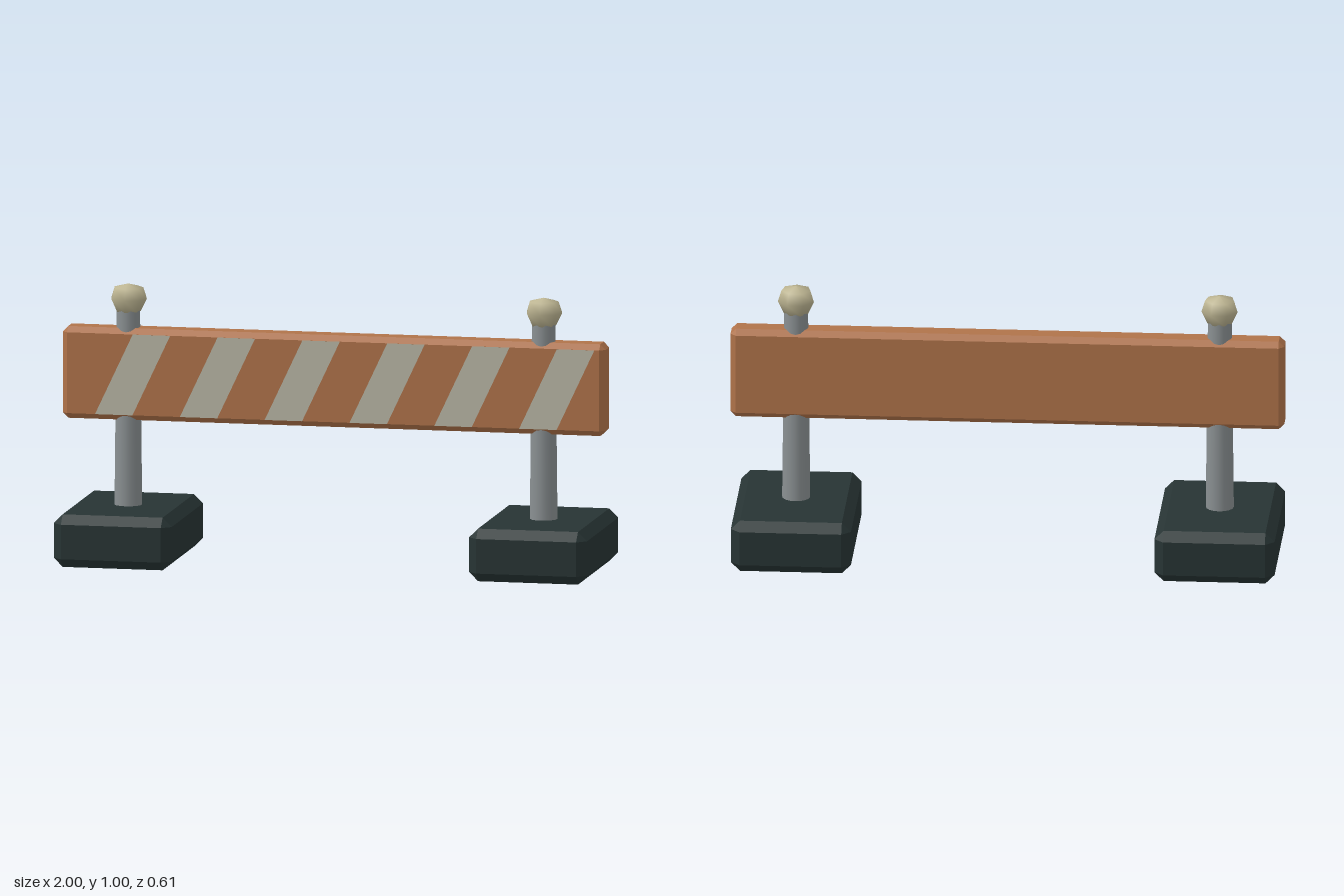
import * as THREE from 'three';
import { ConvexGeometry } from 'three/addons/geometries/ConvexGeometry.js';

const material = (name, color) => {
  const m = new THREE.MeshStandardMaterial({ color });
  m.name = name;
  return m;
};

// Box with every edge and corner cut by the same chamfer
function chamferedBox(w, h, d, c) {
  const half = [w / 2, h / 2, d / 2];
  const points = [];
  for (const sx of [-1, 1]) for (const sy of [-1, 1]) for (const sz of [-1, 1]) {
    for (let axis = 0; axis < 3; axis++) {
      const [x, y, z] = half.map((v, i) => (i === axis ? v : v - c));
      points.push(new THREE.Vector3(sx * x, sy * y, sz * z));
    }
  }
  return new ConvexGeometry(points);
}

export function createModel() {
  const orange = material('orange board', 0xb0734a);
  const white = material('pale stripe', 0xb9b7a6);
  const dark = material('dark base', 0x273434);
  const grey = material('grey metal', 0x8a9092);
  const cream = material('cream lamp', 0xbdb592);

  const model = new THREE.Group();
  model.name = 'roadBarrier';
  const add = (parent, name, geometry, mat, x, y, z) => {
    const mesh = new THREE.Mesh(geometry, mat);
    mesh.name = name;
    mesh.position.set(x, y, z);
    parent.add(mesh);
    return mesh;
  };

  // Crossboard
  add(model, 'board', chamferedBox(2, 0.335, 0.1, 0.02), orange, 0, 0.6725, 0);

  // Slanted stripes on the front face only
  const stripe = new THREE.Shape([
    new THREE.Vector2(0, 0),
    new THREE.Vector2(0.138, 0),
    new THREE.Vector2(0.277, 0.295),
    new THREE.Vector2(0.139, 0.295),
  ]);
  const stripeGeometry = new THREE.ShapeGeometry(stripe);
  for (let i = 0; i < 6; i++) {
    add(model, 'stripe', stripeGeometry, white, -0.877 + i * 0.3125, 0.525, 0.0515);
  }

  // Two stands: weighted foot, tapered post and faceted lamp
  const footGeometry = chamferedBox(0.434, 0.192, 0.607, 0.033);
  const postGeometry = new THREE.CylinderGeometry(0.043, 0.051, 0.74, 16);
  const lampProfile = [[0, 0.885], [0.045, 0.897], [0.067, 0.943], [0.054, 0.984], [0, 0.998]]
    .map(([r, y]) => new THREE.Vector2(r, y));
  const lampGeometry = new THREE.LatheGeometry(lampProfile, 7);
  for (const side of [-1, 1]) {
    const stand = new THREE.Group();
    stand.name = side > 0 ? 'leftStand' : 'rightStand';
    stand.position.x = side * 0.765;
    add(stand, 'foot', footGeometry, dark, 0, 0.096, 0);
    add(stand, 'post', postGeometry, grey, 0, 0.54, 0);
    add(stand, 'lamp', lampGeometry, cream, 0, 0, 0);
    model.add(stand);
  }
  return model;
}
